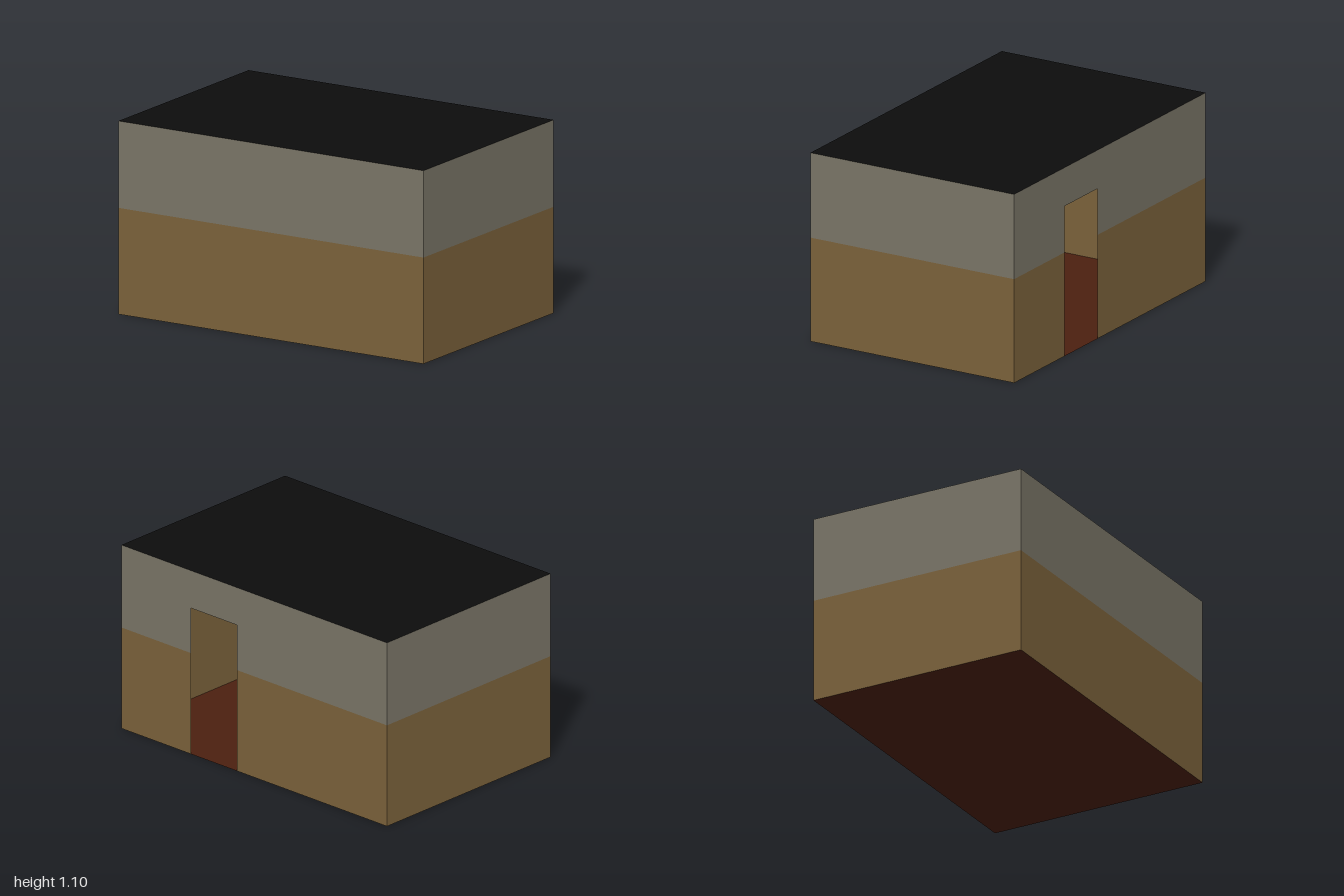
import * as THREE from 'three';

const W = 2, D = 1.32, H = 1.1;      // room size
const BAND = 0.605;                  // height where the wall colour changes
const DOOR = { x0: 0.13, x1: 0.475, top: 0.875 };

const paint = (name, color) => {
  const m = new THREE.MeshStandardMaterial({ color, side: THREE.DoubleSide });
  m.name = name;
  return m;
};

// Flat outline facing +z
const panel = (points) =>
  new THREE.ShapeGeometry(new THREE.Shape(points.map(([x, y]) => new THREE.Vector2(x, y))));

const rect = (w, y0, y1) => panel([[-w / 2, y0], [w / 2, y0], [w / 2, y1], [-w / 2, y1]]);

export function createModel() {
  const room = new THREE.Group();
  room.name = 'room';
  const brown = paint('brown wainscot', 0x7b623b);
  const grey = paint('grey plaster', 0x7a7567);
  const red = paint('dark red floor', 0x4c2010);
  const black = paint('black ceiling', 0x0d0d0d);

  // A wall is a brown lower band and a grey upper band
  const addWall = (name, lower, upper, x, z, turn) => {
    const wall = new THREE.Group();
    wall.name = name;
    [['LowerBand', lower, brown], ['UpperBand', upper, grey]].forEach(([part, geometry, material]) => {
      const mesh = new THREE.Mesh(geometry, material);
      mesh.name = name + part;
      wall.add(mesh);
    });
    wall.position.set(x, 0, z);
    wall.rotation.y = turn;
    room.add(wall);
  };

  // Plain walls
  addWall('frontWall', rect(W, 0, BAND), rect(W, BAND, H), 0, D / 2, 0);
  for (const s of [1, -1]) {
    addWall(s > 0 ? 'leftWall' : 'rightWall', rect(D, 0, BAND), rect(D, BAND, H), s * W / 2, 0, s * Math.PI / 2);
  }

  // Back wall with the open doorway (its outline is turned round, so x is mirrored)
  const a = -DOOR.x1, b = -DOOR.x0, e = W / 2;
  const lower = panel([[-e, 0], [a, 0], [a, BAND], [-e, BAND]]);
  const lowerFar = panel([[b, 0], [e, 0], [e, BAND], [b, BAND]]);
  const upper = panel([
    [-e, BAND], [a, BAND], [a, DOOR.top], [b, DOOR.top], [b, BAND], [e, BAND], [e, H], [-e, H],
  ]);
  addWall('backWall', lower, upper, 0, -D / 2, Math.PI);
  const far = new THREE.Mesh(lowerFar, brown);
  far.name = 'backWallLowerBandBesideDoor';
  room.getObjectByName('backWall').add(far);

  // Floor and ceiling
  const addSlab = (name, y, turn, material) => {
    const slab = new THREE.Mesh(new THREE.PlaneGeometry(W, D), material);
    slab.name = name;
    slab.rotation.x = turn;
    slab.position.y = y;
    room.add(slab);
  };
  addSlab('floor', 0, Math.PI / 2, red);
  addSlab('ceiling', H, -Math.PI / 2, black);

  return room;
}
